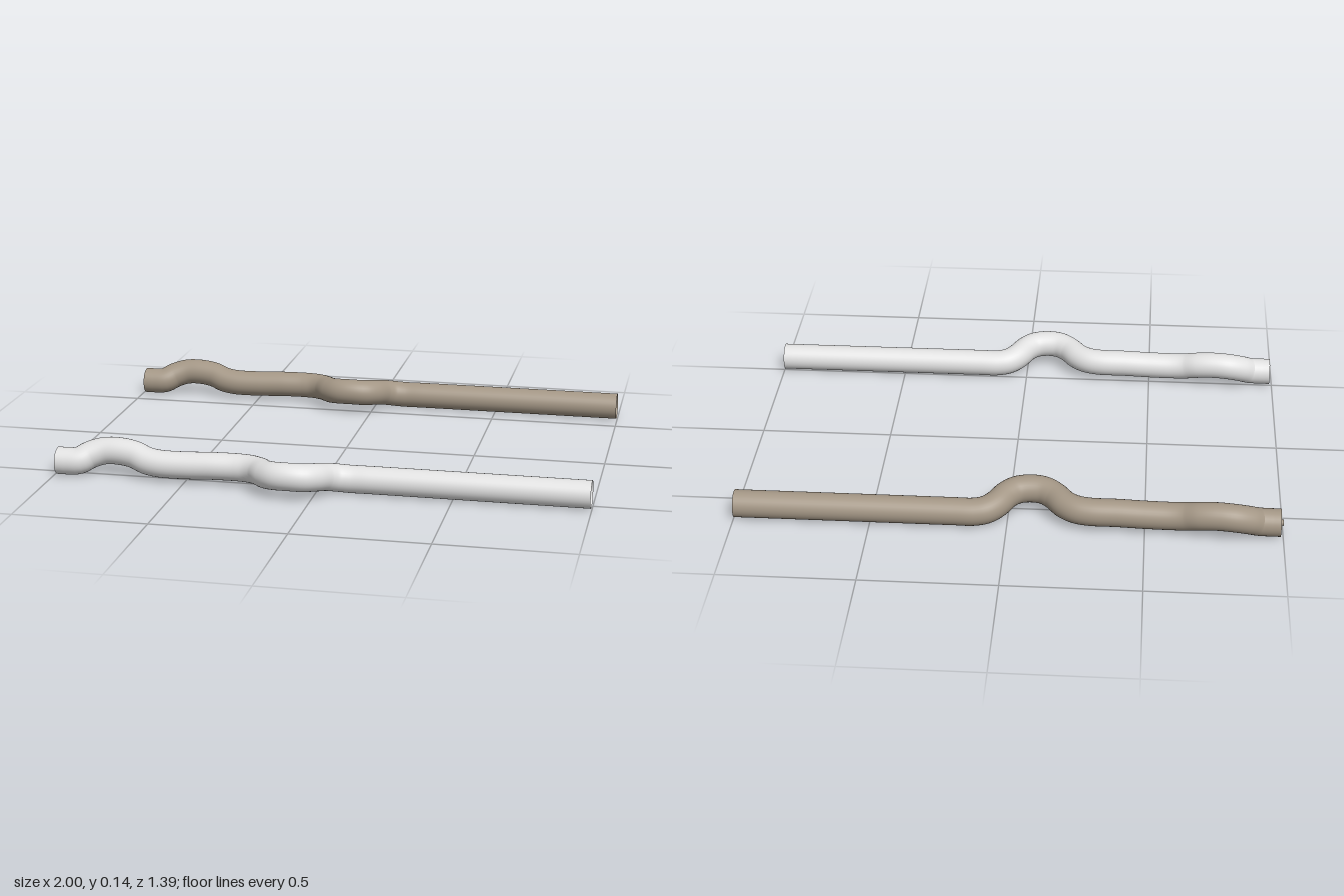
import * as THREE from 'three';

const RADIUS = 0.051;

// Centreline of one bent pipe: x, y, z offset from the pipe's axis
const PATH = [
  [-0.99, 0.052, 0.003], [-0.95, 0.052, 0.003], [-0.91, 0.055, 0], [-0.87, 0.074, -0.021],
  [-0.82, 0.088, -0.034], [-0.76, 0.091, -0.032], [-0.7, 0.084, -0.023],
  [-0.65, 0.07, -0.006], [-0.6, 0.064, 0.002], [-0.5, 0.064, 0.004], [-0.4, 0.068, 0.003],
  [-0.3, 0.069, 0.003], [-0.25, 0.07, 0.014], [-0.21, 0.072, 0.04], [-0.17, 0.077, 0.088],
  [-0.13, 0.083, 0.115], [-0.08, 0.085, 0.122], [-0.03, 0.082, 0.113],
  [0.005, 0.077, 0.085], [0.04, 0.066, 0.037], [0.075, 0.057, 0.011], [0.12, 0.052, 0.001],
  [0.2, 0.052, 0], [0.5, 0.052, 0], [0.8, 0.052, 0], [0.997, 0.052, 0],
];

function makePipe(name, z, material) {
  const curve = new THREE.CatmullRomCurve3(PATH.map(p => new THREE.Vector3(...p)));
  const pipe = new THREE.Mesh(new THREE.TubeGeometry(curve, 180, RADIUS, 32, false), material);
  pipe.name = name;
  pipe.position.z = z;
  return pipe;
}

export function createModel() {
  const group = new THREE.Group();
  group.name = 'bentPipes';

  const grey = new THREE.MeshStandardMaterial({ color: 0xe0e0e0, side: THREE.DoubleSide });
  grey.name = 'lightGrey';
  const tan = new THREE.MeshStandardMaterial({ color: 0xa39685, side: THREE.DoubleSide });
  tan.name = 'tan';

  // Two matching open pipes, side by side
  group.add(makePipe('greyPipe', 0.521, grey), makePipe('tanPipe', -0.613, tan));

  // Closed end of the tan pipe with its small pin
  const cap = new THREE.Mesh(new THREE.CircleGeometry(RADIUS, 32), tan);
  cap.name = 'tanEndCap';
  cap.rotation.y = -Math.PI / 2;
  cap.position.set(-0.988, 0.052, -0.61);
  const pin = new THREE.Mesh(new THREE.CylinderGeometry(0.011, 0.011, 0.02, 16), tan);
  pin.name = 'endPin';
  pin.rotation.z = Math.PI / 2;
  pin.position.set(-0.99, 0.054, -0.613);
  group.add(cap, pin);

  return group;
}
